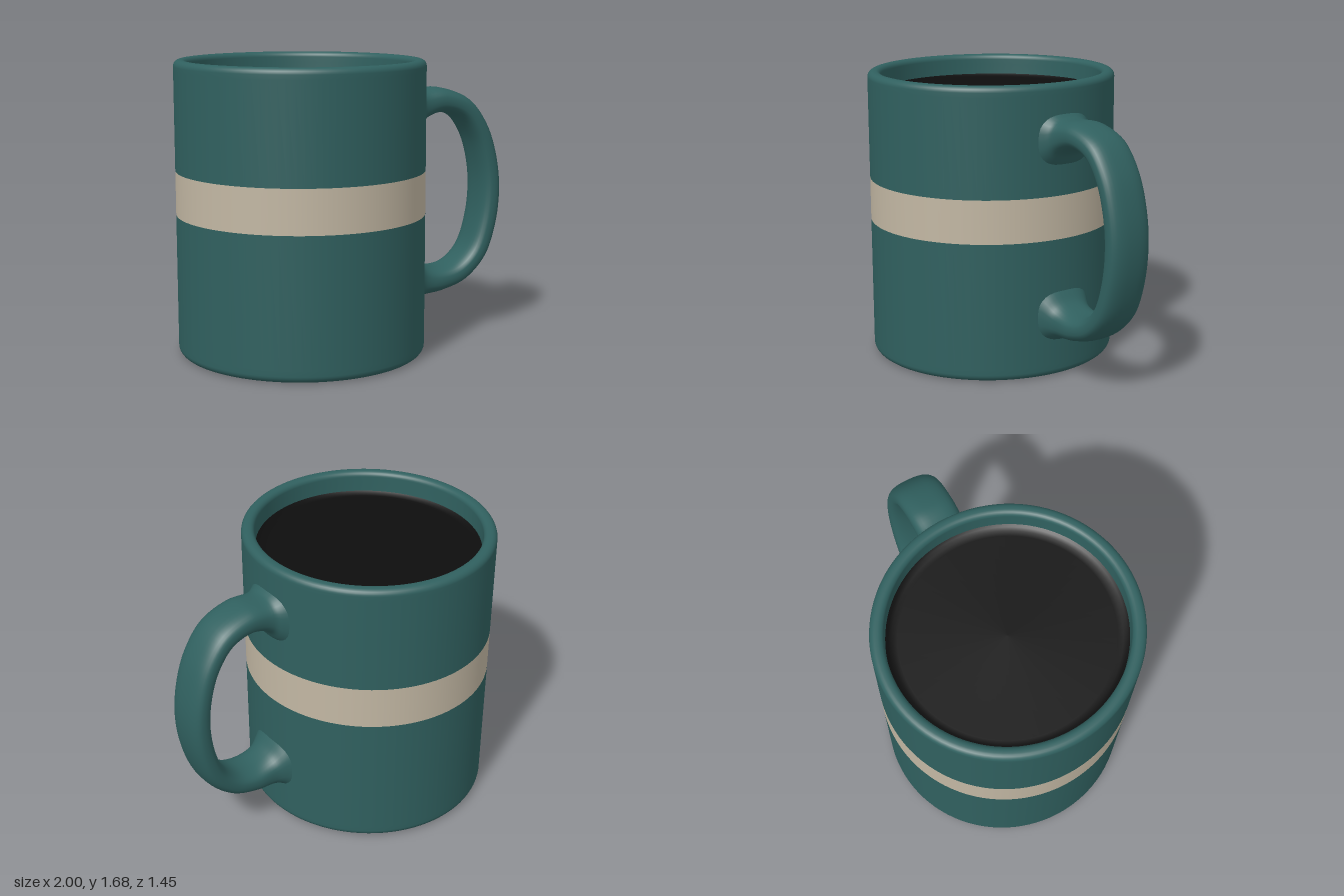
import * as THREE from 'three';

const teal = new THREE.MeshStandardMaterial({ color: 0x30605f });
teal.name = 'teal glaze';
const beige = new THREE.MeshStandardMaterial({ color: 0xc2b7a3 });
beige.name = 'beige stripe';
const black = new THREE.MeshStandardMaterial({ color: 0x0d0d0d });
black.name = 'black coffee';

const CENTER_X = -0.29, R = 0.71, H = 1.68;

function add(group, name, geometry, material) {
  const mesh = new THREE.Mesh(geometry, material);
  mesh.name = name;
  group.add(mesh);
}

// Points of a circular fillet, angles in degrees
function arc(cx, cy, r, from, to, steps = 6) {
  return Array.from({ length: steps + 1 }, (_, i) => {
    const a = THREE.MathUtils.degToRad(from + (to - from) * i / steps);
    return [cx + r * Math.cos(a), cy + r * Math.sin(a)];
  });
}

const lathe = (points) =>
  new THREE.LatheGeometry(points.map(([x, y]) => new THREE.Vector2(x, y)), 96);

// Loft between an outer and an inner edge curve with a soft rectangular section
function handleGeometry() {
  // [outer x, outer y, inner x, inner y, half width]
  const stations = [
    [0.37, 1.56, 0.37, 1.17, 0.20],
    [0.42, 1.51, 0.42, 1.23, 0.165],
    [0.46, 1.488, 0.47, 1.295, 0.14],
    [0.60, 1.488, 0.59, 1.34, 0.135],
    [0.78, 1.42, 0.71, 1.305, 0.135],
    [0.90, 1.27, 0.80, 1.19, 0.135],
    [0.97, 1.08, 0.85, 1.04, 0.135],
    [0.998, 0.87, 0.868, 0.87, 0.135],
    [0.975, 0.65, 0.845, 0.67, 0.135],
    [0.90, 0.445, 0.785, 0.51, 0.135],
    [0.76, 0.31, 0.69, 0.425, 0.135],
    [0.60, 0.255, 0.58, 0.405, 0.135],
    [0.47, 0.236, 0.48, 0.437, 0.14],
    [0.42, 0.215, 0.42, 0.50, 0.165],
    [0.37, 0.17, 0.37, 0.56, 0.20],
  ];
  const curve = (f) => new THREE.CatmullRomCurve3(stations.map(f));
  const outer = curve((s) => new THREE.Vector3(s[0], s[1], s[4]));
  const inner = curve((s) => new THREE.Vector3(s[2], s[3], s[4]));
  const rings = 84, sides = 32, positions = [], index = [];
  const soft = (v) => Math.sign(v) * Math.pow(Math.abs(v), 0.78);
  for (let i = 0; i <= rings; i++) {
    const o = outer.getPoint(i / rings), n = inner.getPoint(i / rings);
    for (let j = 0; j < sides; j++) {
      const a = j / sides * Math.PI * 2;
      const t = (1 + soft(Math.cos(a))) / 2;
      positions.push(n.x + (o.x - n.x) * t, n.y + (o.y - n.y) * t, o.z * soft(Math.sin(a)));
      if (i < rings) {
        const p = i * sides + j, q = i * sides + (j + 1) % sides;
        index.push(p, q, p + sides, q, q + sides, p + sides);
      }
    }
  }
  const geometry = new THREE.BufferGeometry();
  geometry.setAttribute('position', new THREE.Float32BufferAttribute(positions, 3));
  geometry.setIndex(index);
  geometry.computeVertexNormals();
  return geometry;
}

export function createModel() {
  const model = new THREE.Group();
  model.name = 'mug';

  const cup = new THREE.Group();
  cup.name = 'cup';
  cup.position.x = CENTER_X;
  cup.scale.z = 1.023;
  model.add(cup);

  // Shallow recessed base, rounded foot and lower wall
  add(cup, 'lowerBody', lathe([
    [0, 0.02], [0.57, 0.02], [0.59, 0.017], [0.62, 0.003], [0.64, 0],
    ...arc(R - 0.04, 0.04, 0.04, -90, 0), [R, 0.07], [R, 0.805],
  ]), teal);

  // Painted band around the middle
  add(cup, 'stripe', lathe([[R, 0.805], [R, 1.055]]), beige);

  // Upper wall, rounded rim and inside wall above the drink
  add(cup, 'upperBody', lathe([
    [R, 1.055], [R, H - 0.06], ...arc(R - 0.035, H - 0.035, 0.035, 0, 90),
    ...arc(0.665, H - 0.03, 0.03, 90, 180), [0.635, H - 0.06], [0.633, 1.55],
  ]), teal);

  // Drink surface, curving up slightly at the wall
  add(cup, 'coffee', lathe([
    [0.634, 1.56], [0.62, 1.55], [0.60, 1.543], [0.57, 1.54], [0, 1.54],
  ]), black);

  // Handle with flared roots
  add(model, 'handle', handleGeometry(), teal);

  return model;
}
